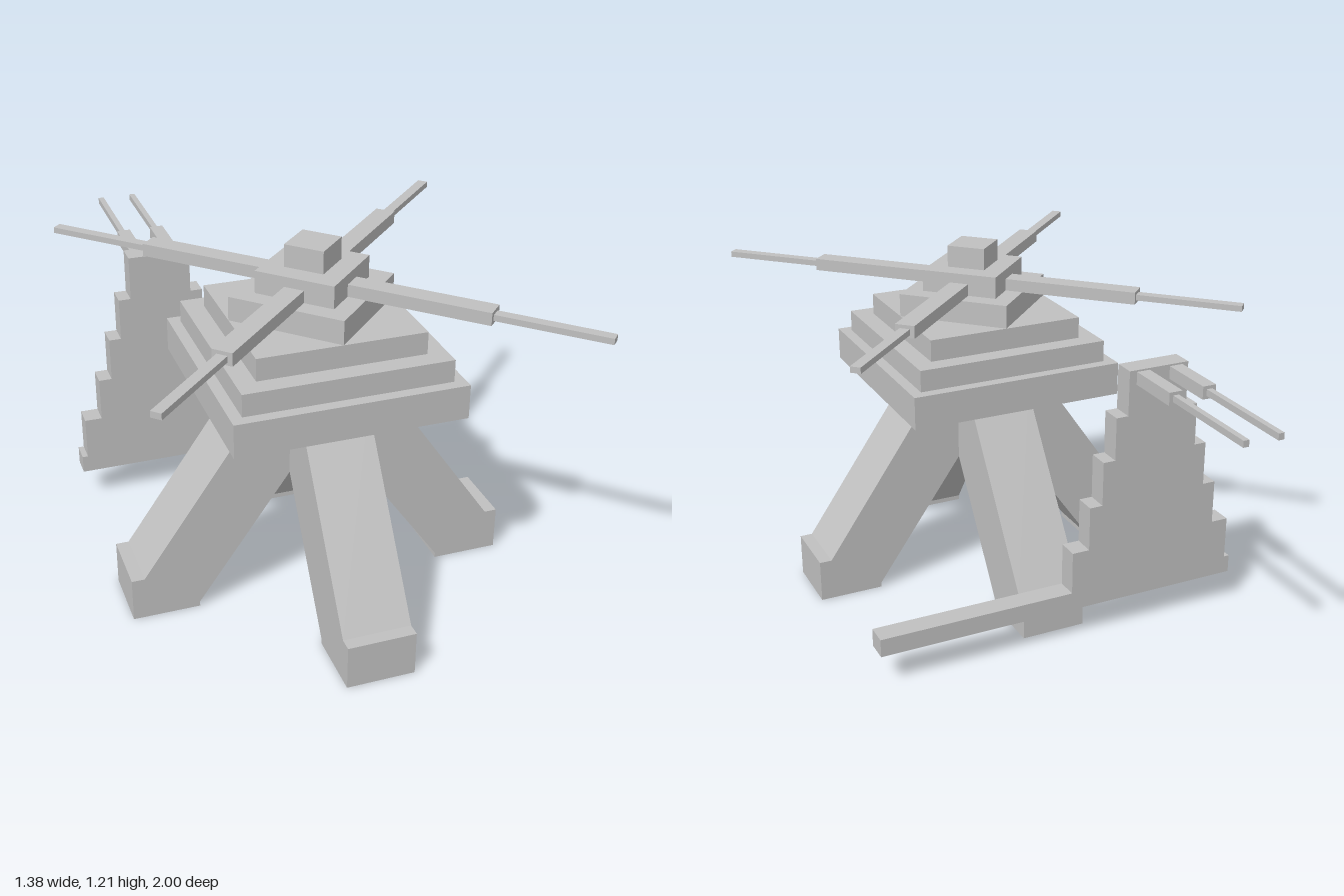
import * as THREE from 'three';

const grey = new THREE.MeshStandardMaterial({ color: 0xc0c0c0 });
grey.name = 'stone grey';

// Box given by its size and centre
function box(parent, name, w, h, d, x, y, z) {
  const mesh = new THREE.Mesh(new THREE.BoxGeometry(w, h, d), grey);
  mesh.name = name;
  mesh.position.set(x, y, z);
  parent.add(mesh);
  return mesh;
}

// Outline in x and y, extruded along z about z = centre
function slab(parent, name, points, depth, centre) {
  const shape = new THREE.Shape(points.map(([x, y]) => new THREE.Vector2(x, y)));
  const geometry = new THREE.ExtrudeGeometry(shape, { depth, bevelEnabled: false });
  geometry.translate(0, 0, centre - depth / 2);
  const mesh = new THREE.Mesh(geometry, grey);
  mesh.name = name;
  parent.add(mesh);
  return mesh;
}

export function createModel() {
  const model = new THREE.Group();
  model.name = 'steppedTower';

  const tower = new THREE.Group();
  tower.name = 'tower';
  tower.position.z = 0.31;
  model.add(tower);

  // Four splayed legs with block feet
  const legOutline = [
    [0.427, 0], [0.653, 0], [0.653, 0.15], [0.61, 0.15],
    [0.217, 0.715], [0, 0.715], [0, 0.62], [0.427, 0.017],
  ];
  for (let i = 0; i < 4; i++) {
    slab(tower, 'leg', legOutline, 0.226, 0).rotation.y = i * Math.PI / 2;
  }

  // Square platform tiers: half width, bottom, top
  for (const [half, y0, y1] of [[0.38, 0.715, 0.83], [0.342, 0.83, 0.905], [0.277, 0.905, 0.98]]) {
    box(tower, 'platformTier', half * 2, y1 - y0, half * 2, 0, (y0 + y1) / 2, 0);
  }

  // Turret tiers turned by 45 degrees: half diagonal, bottom, top
  const turret = new THREE.Group();
  turret.name = 'turret';
  turret.rotation.y = Math.PI / 4;
  tower.add(turret);
  for (const [half, y0, y1] of [[0.277, 0.98, 1.06], [0.19, 1.06, 1.135], [0.095, 1.135, 1.21]]) {
    const side = half * Math.SQRT2;
    box(turret, 'turretTier', side, y1 - y0, side, 0, (y0 + y1) / 2, 0);
  }

  // Four arms, each a thick bar and a thin rod
  for (let i = 0; i < 4; i++) {
    const arm = new THREE.Group();
    arm.name = 'arm';
    arm.rotation.y = i * Math.PI / 2;
    box(arm, 'armBar', 0.465, 0.042, 0.067, 0.3645, 1.08, 0);
    box(arm, 'armRod', 0.361, 0.02, 0.035, 0.7765, 1.079, 0);
    turret.add(arm);
  }

  // Rear wall: long base bar and a symmetrical stepped gable
  const wall = new THREE.Group();
  wall.name = 'rearWall';
  model.add(wall);
  box(wall, 'wallBase', 1.307, 0.063, 0.075, 0, 0.148, -0.3805);
  const middle = -0.332;
  const steps = [[0.302, 0.33], [0.241, 0.485], [0.195, 0.64], [0.152, 0.79], [0.109, 0.945]];
  const right = [];
  let y = 0.179;
  for (const [half, top] of steps) {
    right.push([half, y], [half, top]);
    y = top;
  }
  const left = right.map(([x, h]) => [-x, h]).reverse();
  slab(wall, 'steppedGable', [...right, ...left].map(([x, h]) => [x + middle, h]), 0.075, -0.3805);

  // Twin barrels pointing backwards
  for (const x of [-0.395, -0.273]) {
    box(wall, 'barrelSleeve', 0.047, 0.044, 0.2, x, 0.917, -0.517);
    box(wall, 'barrel', 0.02, 0.022, 0.384, x, 0.917, -0.808);
  }

  return model;
}
